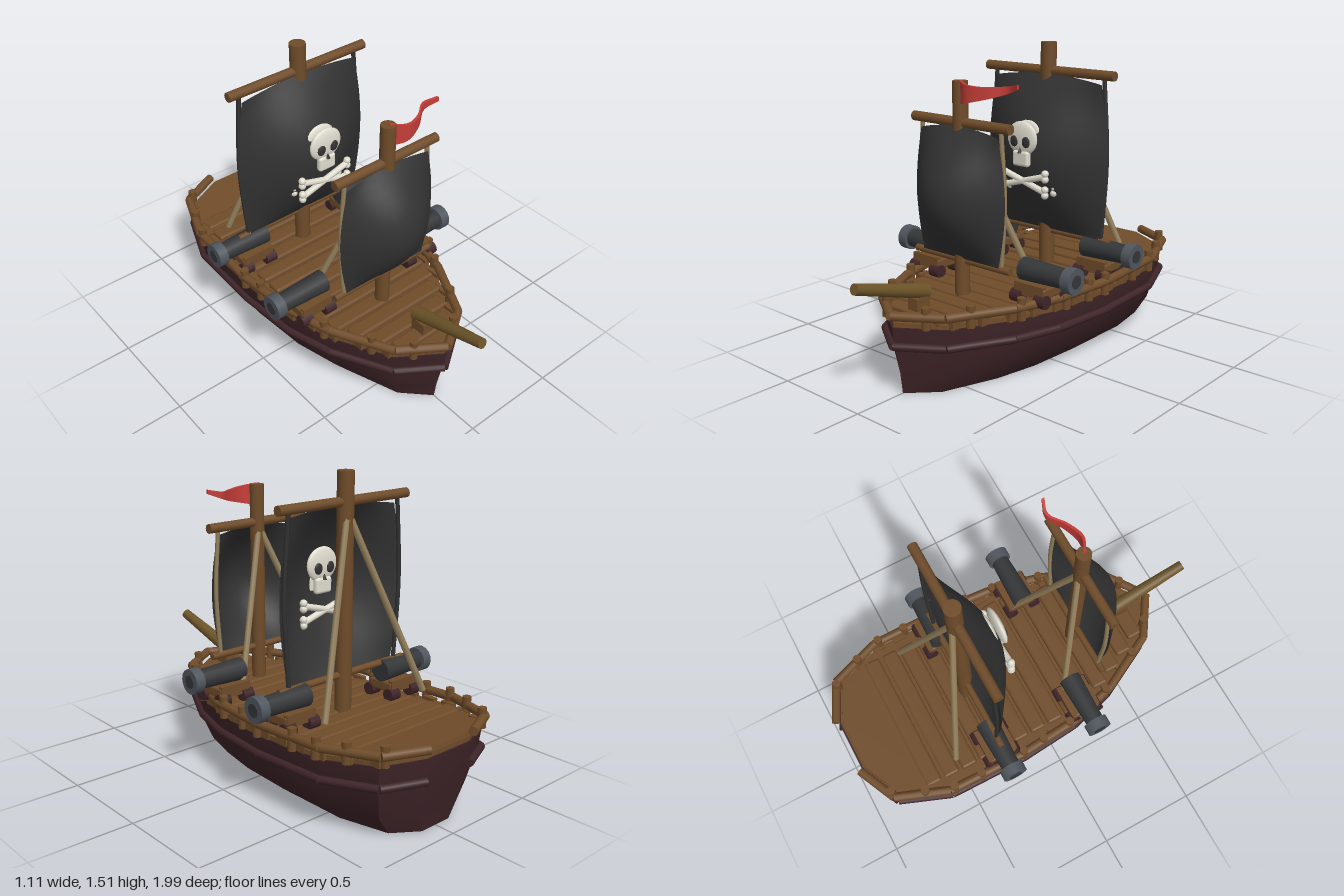
import * as THREE from 'three';
import { toCreasedNormals } from 'three/addons/utils/BufferGeometryUtils.js';
import { RoundedBoxGeometry } from 'three/addons/geometries/RoundedBoxGeometry.js';

const mat = (name, color, side = THREE.FrontSide) => {
  const m = new THREE.MeshStandardMaterial({ color, side });
  m.name = name;
  return m;
};
const V = (x, y, z) => new THREE.Vector3(x, y, z);

// Half outline of the hull rim, bow to stern: [x, z]
const RIM = [[0, 0.785], [0.2, 0.65], [0.35, 0.36], [0.415, 0.12], [0.44, -0.2], [0.435, -0.61], [0.335, -0.87], [0.14, -0.96]];
const RING = [...RIM, ...RIM.slice(1).reverse().map(([x, z]) => [-x, z])];
const sheer = z => 0.325 + (z < -0.2 ? 0.055 * ((-0.2 - z) / 0.76) ** 1.4 : 0.01 * Math.max(0, z));
const halfWidth = z => {
  for (let i = 1; i < RIM.length; i++) {
    const [x0, z0] = RIM[i - 1], [x1, z1] = RIM[i];
    if (z <= z0 && z >= z1) return x0 + (x1 - x0) * (z0 - z) / (z0 - z1);
  }
  return 0;
};

// Closed solid from stacked rings; each level gives x scale, z scale and a height rule
function loft(levels, keep = () => true) {
  const ring = RING.filter(([, z]) => keep(z));
  const n = ring.length, pos = [], idx = [];
  for (const [sx, sz, h] of levels) for (const [x, z] of ring) pos.push(x * sx, h(z), z * sz);
  for (let l = 0; l < levels.length - 1; l++) for (let i = 0; i < n; i++) {
    const a = l * n + i, b = l * n + (i + 1) % n;
    idx.push(a, b, b + n, a, b + n, a + n);
  }
  const top = (levels.length - 1) * n;
  for (let i = 1; i < n / 2; i++) { // caps, strip by strip across the beam
    const p = i, q = i + 1, r = (n - i) % n, s = (n - i - 1 + n) % n;
    const tris = i === 1 ? [[0, 1, n - 1], [p, q, r], [q, s, r]] : [[p, q, r], [q, s, r]];
    for (const [a, b, c] of tris) {
      if (a === b || b === c || a === c) continue;
      idx.push(a, c, b, top + a, top + b, top + c);
    }
  }
  const g = new THREE.BufferGeometry();
  g.setAttribute('position', new THREE.Float32BufferAttribute(pos, 3));
  g.setIndex(idx);
  return toCreasedNormals(g, 0.6);
}

export function createModel() {
  const ship = new THREE.Group();
  ship.name = 'sailingShip';
  const maroon = mat('hull maroon', 0x3e2428);
  const wood = mat('wood brown', 0x6f4c2a);
  const ochre = mat('bowsprit ochre', 0x6c5428);
  const cloth = mat('sail black', 0x323232, THREE.DoubleSide);
  const iron = mat('cannon iron', 0x343638);
  const steel = mat('muzzle steel', 0x50565e);
  const rope = mat('rope beige', 0x94805c);
  const red = mat('pennant red', 0xc53d38, THREE.DoubleSide);
  const bone = mat('bone white', 0xe0dccf);

  const add = (name, geo, m, x = 0, y = 0, z = 0, parent = ship) => {
    const o = new THREE.Mesh(geo, m);
    o.name = name;
    o.position.set(x, y, z);
    parent.add(o);
    return o;
  };
  // Round log between two points
  const log = (name, a, b, r, m, r2 = r, sides = 12, parent = ship) => {
    const o = add(name, new THREE.CylinderGeometry(r2, r, a.distanceTo(b), sides), m, 0, 0, 0, parent);
    o.position.copy(a).add(b).multiplyScalar(0.5);
    o.quaternion.setFromUnitVectors(V(0, 1, 0), b.clone().sub(a).normalize());
    return o;
  };

  // Hull and deck
  const part = f => z => sheer(z) * f;
  add('hull', loft([[0.63, 0.935, () => 0], [0.86, 0.95, () => 0.1], [0.985, 0.985, part(0.72)], [1, 1, part(1)]]), maroon);
  add('deck', loft([[0.99, 0.99, part(0.99)], [0.99, 0.99, z => sheer(z) + 0.022]]), wood);
  add('sternPlatform', loft([[0.97, 0.985, part(1)], [0.95, 0.98, z => sheer(z) + 0.035]], z => z < -0.6), wood);
  for (let i = 0; i < 14; i++) {
    const z = 0.63 - i * 0.1;
    const w = Math.min(0.37, halfWidth(z) - 0.04);
    add('deckPlank', new RoundedBoxGeometry(w * 2, 0.035, 0.085, 2, 0.014), wood, 0, sheer(z) + 0.028, z);
  }

  // Rails, wales and posts along both sides
  const railY = z => 0.39 + (z < -0.3 ? 0.04 * (-0.3 - z) / 0.68 : 0);
  for (const s of [1, -1]) {
    for (let i = 1; i < RIM.length; i++) {
      const [x0, z0] = RIM[i - 1], [x1, z1] = RIM[i];
      const at = (k, y) => ([x, z]) => V(s * x * k, y(z), z * (1 + (k - 1) * 0.7));
      const up = at(1.015, railY), low = at(1.0, z => sheer(z) * 0.73);
      log('rail', up([x0, z0]), up([x1, z1]), 0.022, wood);
      log('wale', low([x0, z0]), low([x1, z1]), 0.019, maroon);
    }
    for (const z of [0.7, 0.55, 0.33, 0.08, -0.08, -0.2, -0.44, -0.59, -0.73, -0.88]) {
      const x = s * halfWidth(z) * 1.01;
      log('railPost', V(x, sheer(z), z), V(x, railY(z) + 0.045, z), 0.021, wood);
    }
    for (let z = 0.6; z > -0.85; z -= 0.12)
      add('gunwaleBlock', new THREE.BoxGeometry(0.03, 0.04, 0.07), wood, s * (halfWidth(z) - 0.015), sheer(z) + 0.02, z);
  }

  // Bowsprit
  log('bowsprit', V(0, 0.448, 0.575), V(0, 0.568, 0.99), 0.036, ochre, 0.026);
  add('bowspritBlock', new THREE.BoxGeometry(0.06, 0.1, 0.08), wood, 0, 0.385, 0.62);

  // Billowed sail: sides held near the mast plane, middle pushed forward
  const sail = (w, wMid, y0, y1, depth) => {
    const g = new THREE.PlaneGeometry(2, 1, 16, 16);
    const p = g.attributes.position;
    for (let i = 0; i < p.count; i++) {
      const u = p.getX(i), v = p.getY(i) + 0.5, swell = Math.sin(Math.PI * v);
      p.setXYZ(i, u * (w + (wMid - w) * swell), y0 + (y1 - y0) * v - 0.03 * u * u * v,
        depth * swell ** 0.9 * Math.cos(u * Math.PI / 2) + 0.015);
    }
    g.computeVertexNormals();
    return g;
  };

  // Masts with yards, sail, edge ropes and stays
  const rigs = [
    { n: 'main', z: -0.3, r: 0.04, top: 1.51, yard: 1.37, half: 0.4, low: 0.55, w: 0.335, mid: 0.38, depth: 0.18, edge: cloth, stay: [1.3, 0.32, 0.45, -0.22] },
    { n: 'fore', z: 0.335, r: 0.036, top: 1.38, yard: 1.19, half: 0.3, low: 0.54, w: 0.24, mid: 0.28, depth: 0.175, edge: rope, stay: [1.14, 0.26, 0.46, -0.2] },
  ];
  for (const k of rigs) {
    log(k.n + 'Mast', V(0, 0.33, k.z), V(0, k.top, k.z), k.r, wood, k.r, 16);
    log(k.n + 'UpperYard', V(-k.half, k.yard, k.z), V(k.half, k.yard, k.z), 0.024, wood);
    log(k.n + 'LowerYard', V(-k.half, k.low, k.z), V(k.half, k.low, k.z), 0.017, wood);
    add(k.n + 'Sail', sail(k.w, k.mid, k.low + 0.01, k.yard - 0.015, k.depth), cloth, 0, 0, k.z);
    for (const s of [1, -1]) {
      const x = s * (k.w + 0.005), m = s * (k.mid - 0.015);
      const edge = new THREE.CatmullRomCurve3([V(x, k.low, 0), V(m, (k.low + k.yard) / 2, 0), V(x, k.yard - 0.02, 0)]);
      add(k.n + 'EdgeRope', new THREE.TubeGeometry(edge, 12, 0.011, 6), k.edge, 0, 0, k.z);
      const [y0, sx, y1, dz] = k.stay;
      log(k.n + 'Stay', V(s * 0.01, y0, k.z - 0.02), V(s * sx, y1, k.z + dz), 0.016, rope, 0.016, 6);
    }
  }

  // Skull and crossed bones on both faces of the main sail
  for (const [z, turn] of [[-0.1, 0], [-0.145, Math.PI]]) {
    const g = new THREE.Group();
    g.name = 'skullEmblem';
    g.position.z = z;
    g.rotation.y = turn;
    ship.add(g);
    add('cranium', new THREE.SphereGeometry(1, 20, 14), bone, 0, 1.055, 0, g).scale.set(0.093, 0.085, 0.022);
    add('jaw', new RoundedBoxGeometry(0.1, 0.08, 0.035, 2, 0.015), bone, 0, 0.955, 0.005, g);
    for (const s of [1, -1]) {
      const eye = add('eyeSocket', new THREE.SphereGeometry(1, 12, 8), cloth, s * 0.037, 1.04, 0.019, g);
      eye.scale.set(0.025, 0.028, 0.008);
      const a = V(-0.14, 0.84 - s * 0.04, turn ? -0.012 : -0.005), b = V(0.14, 0.84 + s * 0.04, turn ? -0.012 : -0.005);
      if (turn) { a.z = b.z = 0.03; }
      log('crossBone', a, b, 0.016, bone, 0.016, 10, g);
      for (const e of [a, b]) for (const d of [0.014, -0.014])
        add('boneKnob', new THREE.SphereGeometry(0.019, 10, 8), bone, e.x, e.y + d, e.z, g);
    }
    add('noseHole', new THREE.ConeGeometry(0.012, 0.03, 8), cloth, 0, 0.998, 0.02, g);
  }

  // Waving pennant on the fore mast
  const wave = new THREE.CatmullRomCurve3([V(0, 0, 0.34), V(0.08, 0, 0.375), V(0.17, 0, 0.345), V(0.25, 0, 0.29), V(0.32, 0, 0.31)]);
  const pennant = new THREE.BoxGeometry(1, 1, 0.014, 20, 4, 1);
  const pp = pennant.attributes.position;
  for (let i = 0; i < pp.count; i++) {
    const t = pp.getX(i) + 0.5, c = wave.getPoint(t);
    const hi = 1.385 - 0.02 * Math.sin(Math.PI * t), lo = 1.275 + 0.09 * t ** 1.3;
    pp.setXYZ(i, c.x, lo + (hi - lo) * (pp.getY(i) + 0.5), c.z + pp.getZ(i));
  }
  pennant.computeVertexNormals();
  add('pennant', pennant, red);

  // Cannons on carriages, two each side
  for (const s of [1, -1]) for (const z of [-0.305, 0.175]) {
    const g = new THREE.Group();
    g.name = 'cannon';
    g.position.z = z;
    ship.add(g);
    const y = 0.51;
    log('barrel', V(s * 0.245, y, 0), V(s * 0.51, y, 0), 0.056, iron, 0.046, 16, g);
    log('muzzleRing', V(s * 0.5, y, 0), V(s * 0.55, y, 0), 0.062, steel, 0.062, 16, g);
    log('bore', V(s * 0.54, y, 0), V(s * 0.553, y, 0), 0.032, iron, 0.032, 16, g);
    add('carriage', new RoundedBoxGeometry(0.18, 0.05, 0.15, 2, 0.01), wood, s * 0.335, 0.435, 0, g);
    for (const d of [0.066, -0.066]) {
      add('carriageCheek', new THREE.BoxGeometry(0.17, 0.06, 0.025), wood, s * 0.335, 0.44, d, g);
      for (const x of [0.265, 0.405])
        log('wheel', V(s * (x - 0.03), 0.4, d), V(s * (x + 0.03), 0.4, d), 0.032, maroon, 0.032, 12, g);
    }
  }
  return ship;
}
